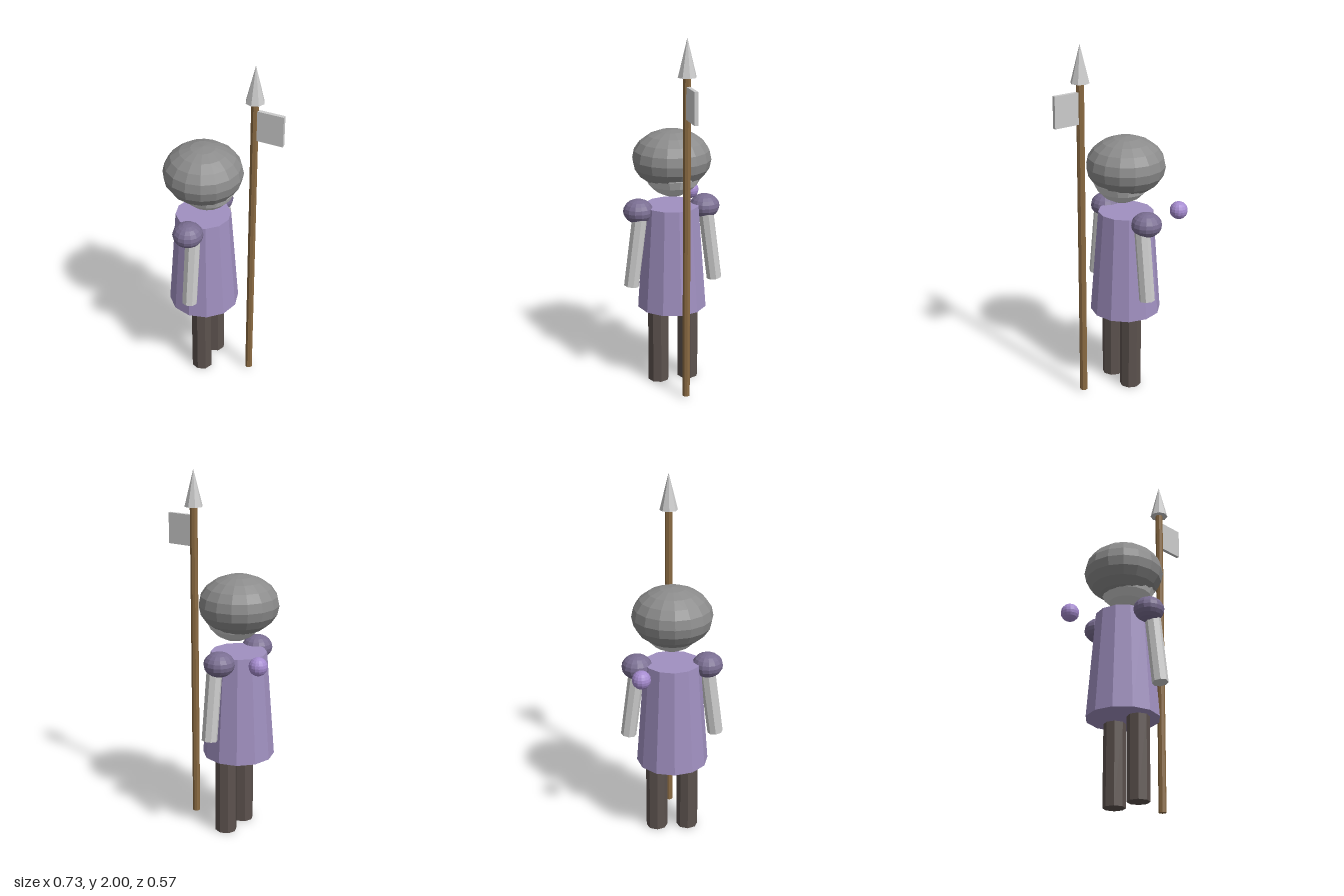
import * as THREE from 'three';

const material = (color) => new THREE.MeshStandardMaterial({ color, flatShading: true });

export function createModel() {
  const model = new THREE.Group();
  const grey = material(0xcccccc);
  const hairGrey = material(0x8c8c8c);
  const robe = material(0xa090c0);
  const pad = material(0x7a6e92);
  const orbPurple = material(0xa68cd0);
  const cloth = material(0x5c524e);
  const wood = material(0x8a6a42);

  const add = (name, geometry, mat, x, y, z) => {
    const mesh = new THREE.Mesh(geometry, mat);
    mesh.name = name;
    mesh.position.set(x, y, z);
    model.add(mesh);
    return mesh;
  };

  // Robe, head and the wide cap of hair
  add('robe', new THREE.CylinderGeometry(0.153, 0.198, 0.59, 12), robe, -0.086, 0.745, 0);
  add('head', new THREE.SphereGeometry(0.165, 16, 10), grey, -0.06, 1.265, 0);
  add('hair', new THREE.SphereGeometry(0.218, 16, 10), hairGrey, -0.085, 1.305, 0).scale.y = 0.74;

  // Paired limbs: legs, shoulder pads, splayed arms
  for (const [side, s] of [['left', -1], ['right', 1]]) {
    add(side + 'Leg', new THREE.CylinderGeometry(0.06, 0.06, 0.46, 8), cloth, -0.06, 0.23, s * 0.087);
    add(side + 'Shoulder', new THREE.SphereGeometry(0.084, 14, 10), pad, -0.085, 1.018, s * 0.191).scale.y = 0.81;
    const arm = add(side + 'Arm', new THREE.CylinderGeometry(0.043, 0.043, 0.42, 8), grey, -0.056, 0.803, s * 0.215);
    arm.rotation.x = -s * 0.13;
  }

  // Floating orb beside one shoulder
  add('orb', new THREE.SphereGeometry(0.05, 14, 10), orbPurple, -0.318, 1.045, -0.176);

  // Spear with pennant
  add('spearShaft', new THREE.CylinderGeometry(0.021, 0.021, 1.8, 8), wood, 0.206, 0.91, 0);
  add('spearTip', new THREE.ConeGeometry(0.05, 0.2, 8), grey, 0.206, 1.9, 0);
  add('pennant', new THREE.BoxGeometry(0.15, 0.17, 0.02), grey, 0.291, 1.67, 0);

  return model;
}
